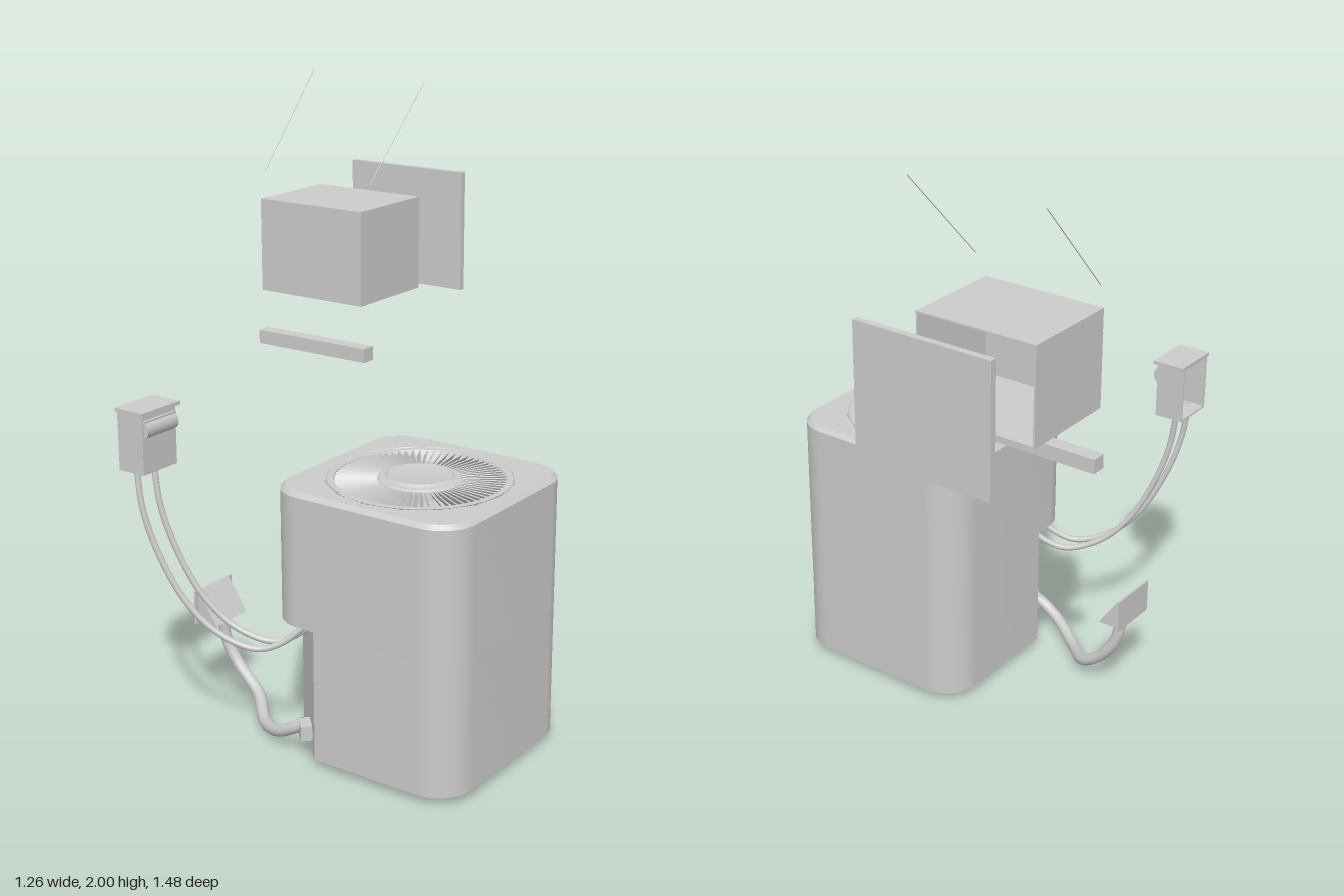
import * as THREE from 'three';
import { toCreasedNormals } from 'three/addons/utils/BufferGeometryUtils.js';

const mat = new THREE.MeshStandardMaterial({ color: 0xcccccc, side: THREE.DoubleSide });
const V = (x, y, z) => new THREE.Vector3(x, y, z);

function add(parent, name, geo, x = 0, y = 0, z = 0) {
  const m = new THREE.Mesh(geo, mat);
  m.name = name;
  m.position.set(x, y, z);
  parent.add(m);
  return m;
}

// Box given by its min and max corners
function block(parent, name, a, b) {
  const s = b.map((v, i) => v - a[i]);
  return add(parent, name, new THREE.BoxGeometry(...s), ...a.map((v, i) => v + s[i] / 2));
}

function tube(parent, name, pts, radius, segments = 48, sides = 12) {
  const curve = new THREE.CatmullRomCurve3(pts.map(p => V(...p)));
  return add(parent, name, new THREE.TubeGeometry(curve, segments, radius, sides));
}

// Thin-walled box, centred, open toward -z
function openBox(parent, name, w, h, d, t = 0.006) {
  const g = new THREE.Group();
  g.name = name;
  parent.add(g);
  const x = w / 2, y = h / 2, z = d / 2;
  block(g, 'facePanel', [-x, -y, z - t], [x, y, z]);
  for (const s of [-1, 1]) {
    add(g, 'sidePanel', new THREE.BoxGeometry(t, h, d - t), s * (x - t / 2), 0, -t / 2);
    add(g, 'endPanel', new THREE.BoxGeometry(w - 2 * t, t, d - t), 0, s * (y - t / 2), -t / 2);
  }
  return g;
}

// Cabinet plan: rounded rectangle, optionally with the front right corner cut flat
const W = 0.34, D = 0.337, R = 0.12, CUT = 0.18;
function plan(inset = 0, cut = false, Type = THREE.Shape) {
  const w = W - inset, d = D - inset, r = R - inset, c = CUT - inset * 0.6, H = Math.PI / 2;
  const s = new Type();
  s.moveTo(-w + (cut ? c : r), -d);
  s.lineTo(w - r, -d);
  s.absarc(w - r, -d + r, r, -H, 0);
  s.absarc(w - r, d - r, r, 0, H);
  s.absarc(-w + r, d - r, r, H, 2 * H);
  if (cut) s.lineTo(-w, -d + c);
  else s.absarc(-w + r, -d + r, r, 2 * H, 3 * H);
  s.closePath();
  return s;
}

// Extrude a plan upward from y0
function rise(parent, name, shape, y0, y1, bevel = 0) {
  const geo = new THREE.ExtrudeGeometry(shape, {
    depth: y1 - y0 - bevel, curveSegments: 8, bevelEnabled: bevel > 0,
    bevelSize: bevel, bevelThickness: bevel, bevelOffset: -bevel, bevelSegments: 1,
  });
  geo.rotateX(-Math.PI / 2);
  return add(parent, name, toCreasedNormals(geo, 0.5), 0, y0, 0);
}

function cabinet() {
  const g = new THREE.Group();
  g.name = 'cabinet';
  g.position.set(0.29, 0, 0.197);

  // Hollow walls, the lower part with the cut corner
  for (const [name, y0, y1, cut] of [['lowerWalls', 0.03, 0.46, true], ['upperWalls', 0.46, 0.875, false]]) {
    const s = plan(0, cut);
    s.holes.push(plan(0.006, cut, THREE.Path));
    rise(g, name, s, y0, y1);
  }

  // Ceiling of the cut corner
  const c = new THREE.Shape();
  c.moveTo(-W, -D + CUT);
  c.lineTo(-W, -D + R);
  c.absarc(-W + R, -D + R, R, Math.PI, 1.5 * Math.PI);
  c.lineTo(-W + CUT, -D);
  c.closePath();
  rise(g, 'cornerCeiling', c, 0.46, 0.464);

  // Bevelled lid with the round fan opening
  const lid = plan();
  lid.holes.push(new THREE.Path().absarc(0, 0, 0.28, 0, 2 * Math.PI, true));
  rise(g, 'lid', lid, 0.875, 0.895, 0.014);

  // Fan grille: rim, recessed tray, radial slats and hub
  const lathe = (name, pts) => add(g, name, toCreasedNormals(
    new THREE.LatheGeometry(pts.map(p => new THREE.Vector2(...p)), 48), 0.4));
  lathe('grilleTray', [[0.09, 0.862], [0.25, 0.862], [0.265, 0.895], [0.285, 0.895]]);
  lathe('fanHub', [[0.135, 0.862], [0.132, 0.892], [0.125, 0.897], [0.108, 0.899],
    [0.098, 0.906], [0.085, 0.903], [0, 0.903]]);
  const slat = new THREE.BoxGeometry(0.136, 0.022, 0.004);
  slat.rotateX(0.5).translate(0.197, 0.883, 0);
  for (let i = 0; i < 72; i++) add(g, 'grilleSlat', slat).rotation.y = i * Math.PI / 36;
  return g;
}

function disconnect() {
  const g = new THREE.Group();
  g.name = 'disconnectBox';
  const box = openBox(g, 'housing', 0.15, 0.19, 0.1);
  box.position.set(-0.41, 1.013, 0.652);
  box.rotation.y = Math.PI / 2;
  block(g, 'housingCap', [-0.462, 1.106, 0.565], [-0.35, 1.118, 0.735]);

  // Rounded pull handle on a narrow ledge
  const handle = new THREE.CylinderGeometry(0.026, 0.026, 0.136, 20);
  handle.rotateX(Math.PI / 2).scale(0.75, 1, 1);
  add(g, 'pullHandle', handle, -0.361, 1.06, 0.652);
  block(g, 'handleLedge', [-0.36, 1.083, 0.582], [-0.352, 1.09, 0.722]);
  return g;
}

function drain() {
  const g = new THREE.Group();
  g.name = 'ventHose';
  tube(g, 'hose', [[0.05, 0.11, 0.48], [0.01, 0.085, 0.487], [-0.06, 0.05, 0.475], [-0.17, 0.022, 0.405],
    [-0.28, 0.055, 0.305], [-0.37, 0.125, 0.29], [-0.418, 0.21, 0.295], [-0.425, 0.31, 0.303]], 0.02, 64, 14);
  block(g, 'hoseFitting', [0.035, 0.07, 0.45], [0.1, 0.12, 0.51]).rotation.y = -Math.PI / 4;

  // Wall plate and wedge hood, open underneath
  block(g, 'hoodPlate', [-0.47, 0.285, 0.21], [-0.462, 0.4, 0.395]);
  const z0 = 0.225, z1 = 0.382;
  const a = [-0.462, 0.4], b = [-0.387, 0.29], c = [-0.462, 0.29];
  const hood = new THREE.BufferGeometry();
  hood.setAttribute('position', new THREE.Float32BufferAttribute([
    ...a, z1, ...b, z1, ...b, z0, ...a, z1, ...b, z0, ...a, z0,
    ...a, z1, ...c, z1, ...b, z1, ...a, z0, ...b, z0, ...c, z0], 3));
  hood.computeVertexNormals();
  add(g, 'hood', hood);
  return g;
}

export function createModel() {
  const root = new THREE.Group();
  root.name = 'outdoorUnit';
  root.add(cabinet(), disconnect(), drain());

  // Two parallel pipes from the disconnect box to the cut corner
  const path = [[-0.413, 0.925], [-0.395, 0.8], [-0.355, 0.66], [-0.28, 0.5],
    [-0.19, 0.4], [-0.08, 0.355], [-0.01, 0.38], [0.07, 0.455]];
  for (const [zTop, zEnd] of [[0.625, 0.425], [0.702, 0.495]]) {
    const zAt = x => THREE.MathUtils.lerp(zTop, zEnd, Math.max(0, (x + 0.39) / 0.42));
    tube(root, 'pipe', path.map(([x, y]) => [x, y, zAt(x)]), 0.01, 56);
  }

  // Floating assembly: open box, back panel, bar and two thin rods
  openBox(root, 'openBox', 0.415, 0.315, 0.335).position.set(-0.393, 1.448, -0.322);
  block(root, 'backPanel', [-0.63, 1.24, -0.74], [-0.163, 1.657, -0.718]);
  block(root, 'bar', [-0.618, 1.1, -0.205], [-0.174, 1.147, -0.155]);
  for (const s of [-1, 1]) {
    const rod = new THREE.LineCurve3(V(-0.395 + s * 0.218, 1.69, -0.195), V(-0.395 + s * 0.232, 2, -0.49));
    add(root, 'thinRod', new THREE.TubeGeometry(rod, 1, 0.0015, 6));
  }
  return root;
}
